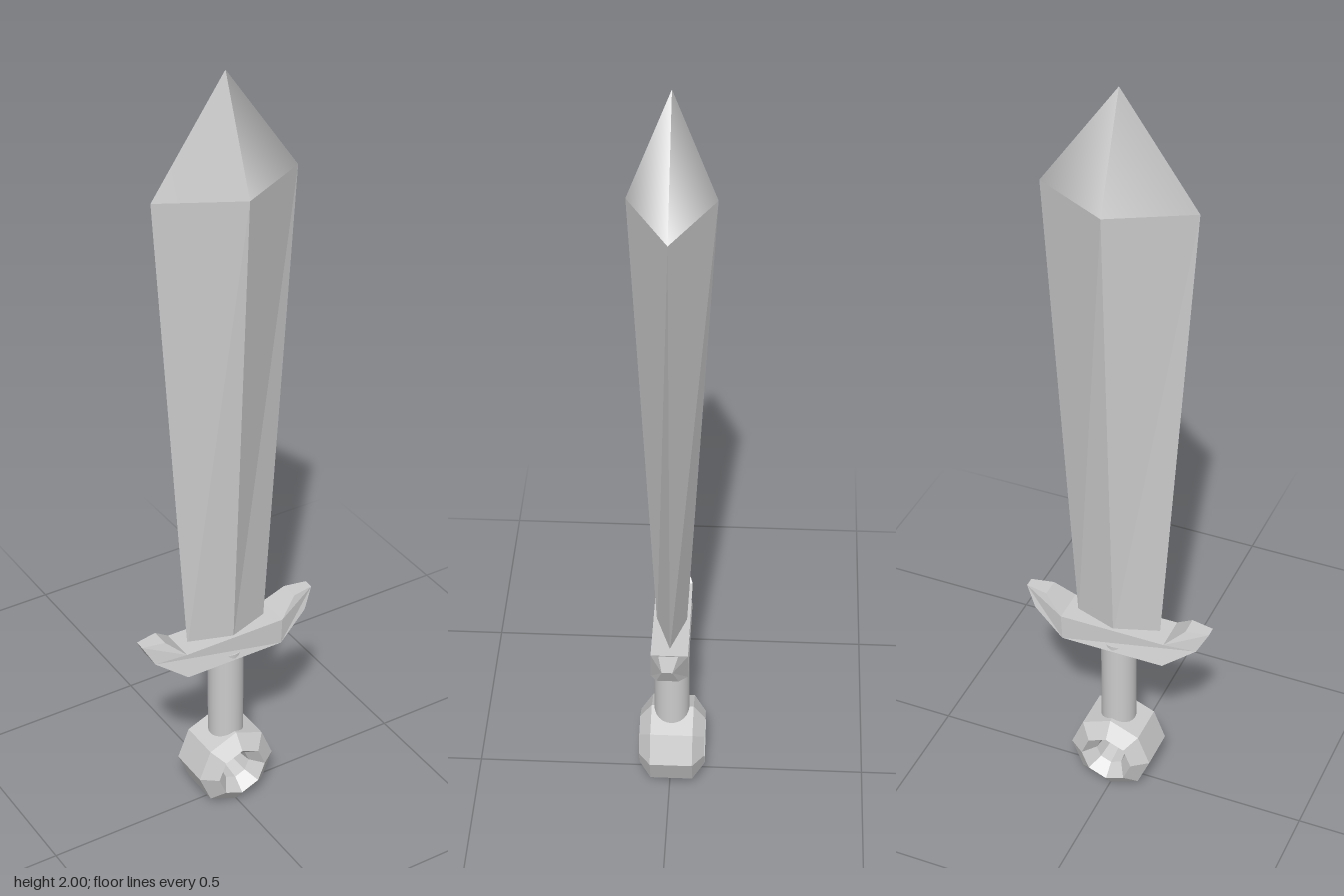
import * as THREE from 'three';

const Z = -0.003; // common centre plane of the sword

export function createModel() {
  const sword = new THREE.Group();
  sword.name = 'sword';
  const smooth = new THREE.MeshStandardMaterial({ color: 0xcccccc });
  const flat = new THREE.MeshStandardMaterial({ color: 0xcccccc, flatShading: true });

  function add(name, geometry, material, y = 0, z = Z) {
    const mesh = new THREE.Mesh(geometry, material);
    mesh.name = name;
    mesh.position.set(0, y, z);
    sword.add(mesh);
    return mesh;
  }

  // Blade: diamond section widening upwards
  const bottom = 0.5, top = 1.73;
  const blade = new THREE.CylinderGeometry(1, 1, top - bottom, 4);
  const bp = blade.attributes.position;
  for (let i = 0; i < bp.count; i++) {
    const up = bp.getY(i) > 0;
    bp.setX(i, bp.getX(i) * (up ? 0.191 : 0.11));
    bp.setZ(i, bp.getZ(i) * (up ? 0.102 : 0.037));
  }
  add('blade', blade, flat, (top + bottom) / 2);

  // Point: four-sided cone with smooth normals
  const point = new THREE.ConeGeometry(1, 2 - top, 4);
  point.scale(0.191, 1, 0.102);
  add('bladePoint', point, smooth, (2 + top) / 2);

  // Guard: upturned outline, thinning towards the ends
  const half = [[0.135, 0.445], [0.217, 0.505], [0.245, 0.557], [0.187, 0.557], [0.138, 0.515]];
  const outline = [...half, ...half.map(([x, y]) => [-x, y]).reverse()];
  const guard = new THREE.ExtrudeGeometry(
    new THREE.Shape(outline.map(([x, y]) => new THREE.Vector2(x, y))),
    { depth: 1, bevelEnabled: false });
  const gp = guard.attributes.position;
  for (let i = 0; i < gp.count; i++) {
    const x = Math.abs(gp.getX(i));
    let t = x < 0.15 ? 0.046 : 0.027;
    if (gp.getY(i) > 0.53) t = x < 0.2 ? 0.024 : 0.013;
    gp.setZ(i, gp.getZ(i) > 0.5 ? t : -t);
  }
  add('guard', guard, flat);

  // Grip
  add('grip', new THREE.CylinderGeometry(0.045, 0.045, 0.27, 24), smooth, 0.325);

  // Pommel: eight-sided ring with funnel-shaped openings
  const profile = [
    [0.108, -0.054], [0.108, 0.054], [0.068, 0.084], [0.04, 0.05],
    [0.033, 0], [0.04, -0.05], [0.068, -0.084], [0.108, -0.054],
  ].map(([r, y]) => new THREE.Vector2(r, y));
  const ring = new THREE.LatheGeometry(profile, 8);
  ring.rotateX(Math.PI / 2);
  add('pommelRing', ring, flat, 0.11, -0.005);

  // Small stone in the middle of the ring
  add('pommelStone', new THREE.OctahedronGeometry(0.02), flat, 0.11, -0.005);

  return sword;
}
